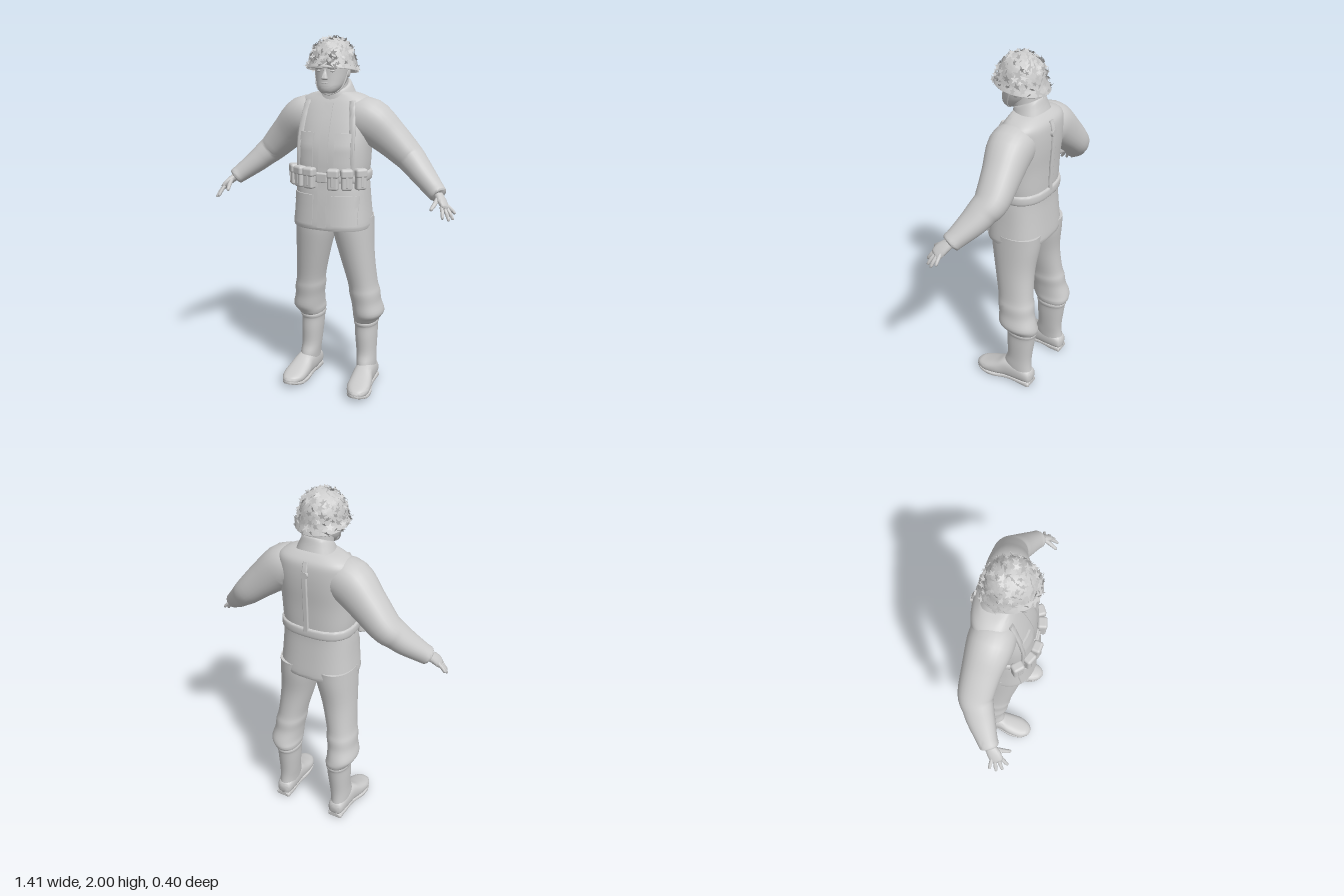
import * as THREE from 'three';
import { mergeGeometries, toCreasedNormals } from 'three/addons/utils/BufferGeometryUtils.js';
import { RoundedBoxGeometry } from 'three/addons/geometries/RoundedBoxGeometry.js';

const grey = new THREE.MeshStandardMaterial({ color: 0xcccccc });
const thin = new THREE.MeshStandardMaterial({ color: 0xcccccc, side: THREE.DoubleSide });
const Y = new THREE.Vector3(0, 1, 0), Z = new THREE.Vector3(0, 0, 1), X = new THREE.Vector3(1, 0, 0);

// Smooth skin over rings [x, y, z, r1, r2]; sections follow the path, or a fixed axis that the rings must ascend
function loft(rings, { axis = null, ref = Z, p = 2.2, seg = 28, sub = 4, rule = null } = {}) {
  const spline = pts => new THREE.CatmullRomCurve3(pts, false, 'catmullrom', 0.5);
  const path = spline(rings.map(r => new THREE.Vector3(r[0], r[1], r[2])));
  const radii = spline(rings.map(r => new THREE.Vector3(r[3], r[4], 0)));
  const n = (rings.length - 1) * sub, pos = [], idx = [];
  const pw = a => Math.sign(a) * Math.abs(a) ** (2 / p);
  for (let j = 0; j <= n; j++) {
    const c = path.getPoint(j / n), r = radii.getPoint(j / n), t = axis || path.getTangent(j / n);
    const v = ref.clone().addScaledVector(t, -t.dot(ref)).normalize();
    const u = t.clone().cross(v);
    for (let i = 0; i < seg; i++) {
      const a = i / seg * Math.PI * 2;
      const q = c.clone().addScaledVector(u, pw(Math.cos(a)) * r.x).addScaledVector(v, pw(Math.sin(a)) * r.y);
      if (rule) rule(q);
      pos.push(q.x, q.y, q.z);
    }
  }
  for (let j = 0; j < n; j++) for (let i = 0; i < seg; i++) {
    const a = j * seg + i, b = j * seg + (i + 1) % seg;
    idx.push(a, a + seg, b, b, a + seg, b + seg);
  }
  for (let i = 1; i < seg - 1; i++) {
    const e = n * seg;
    idx.push(0, i, i + 1, e, e + i + 1, e + i);
  }
  const g = new THREE.BufferGeometry();
  g.setAttribute('position', new THREE.Float32BufferAttribute(pos, 3));
  g.setIndex(idx);
  return toCreasedNormals(g, 0.9);
}

// Jacket sections, also used to drape straps and pockets over it
const TORSO = [
  [0, 0.975, 0, 0.215, 0.168], [0, 1.0, 0, 0.218, 0.172], [0, 1.1, 0, 0.208, 0.163], [0, 1.2, 0, 0.2, 0.155],
  [0, 1.26, -0.005, 0.194, 0.15], [0, 1.32, -0.005, 0.2, 0.152], [0, 1.42, -0.01, 0.205, 0.15],
  [0, 1.52, -0.027, 0.21, 0.14], [0, 1.6, -0.042, 0.21, 0.125], [0, 1.655, -0.05, 0.2, 0.108],
  [0, 1.688, -0.045, 0.15, 0.085], [0, 1.705, -0.035, 0.085, 0.07]];
const P = 2.6;
function torsoZ(x, y, side = 1) {
  let k = 0;
  while (k < TORSO.length - 2 && y > TORSO[k + 1][1]) k++;
  const a = TORSO[k], b = TORSO[k + 1], f = THREE.MathUtils.clamp((y - a[1]) / (b[1] - a[1]), 0, 1);
  const m = i => a[i] + (b[i] - a[i]) * f;
  return m(2) + side * m(4) * Math.max(0, 1 - Math.min(1, Math.abs(x) / m(3)) ** P) ** (1 / P);
}

export function createModel() {
  const root = new THREE.Group();
  const add = (name, geo, x = 0, y = 0, z = 0, mat = grey) => {
    const m = new THREE.Mesh(geo, mat);
    m.name = name;
    m.position.set(x, y, z);
    root.add(m);
  };
  // Flat panel bent onto the jacket front
  const drape = (name, x, y, w, h, d) => {
    const g = new THREE.BoxGeometry(w, h, d, 8, 10, 1), a = g.attributes.position;
    for (let i = 0; i < a.count; i++) {
      const px = a.getX(i) + x, py = a.getY(i) + y;
      a.setXYZ(i, px, py, a.getZ(i) + torsoZ(px, py));
    }
    add(name, toCreasedNormals(g, 0.7));
  };

  add('jacket', loft(TORSO, { axis: Y, p: P, seg: 48 }));
  drape('jacketPlacket', 0, 1.32, 0.05, 0.66, 0.01);
  add('collar', loft([[0, 1.665, -0.035, 0.112, 0.095], [0, 1.7, -0.033, 0.098, 0.086], [0, 1.74, -0.03, 0.08, 0.078],
    [0, 1.743, -0.03, 0.068, 0.068]], { axis: Y, rule: q => { q.y -= (q.z + 0.03) * 0.45; } }));

  // Belt, buckle and the back strap
  add('belt', loft([[0, 1.235, -0.003, 0.19, 0.15], [0, 1.242, -0.003, 0.206, 0.163], [0, 1.283, -0.003, 0.206, 0.163],
    [0, 1.29, -0.003, 0.19, 0.15]], { axis: Y, p: P, seg: 48 }));
  add('buckle', new RoundedBoxGeometry(0.06, 0.05, 0.014, 3, 0.006), 0, 1.262, 0.162);
  const backStrap = [1.27, 1.35, 1.45, 1.55, 1.62, 1.665].map(y => [0, y, torsoZ(0, y, -1) - 0.004, 0.009, 0.014]);
  add('backStrap', loft(backStrap, { ref: X, p: 4, seg: 16 }));
  add('strapJoint', new THREE.CylinderGeometry(0.02, 0.02, 0.014, 20).rotateX(Math.PI / 2), 0, 1.6, torsoZ(0, 1.6, -1) - 0.006);

  for (const s of [1, -1]) {
    const side = s > 0 ? 'left' : 'right';
    // Shoulder strap from the belt up to the shoulder
    const strap = [[0.15, 1.28], [0.15, 1.4], [0.145, 1.52], [0.135, 1.61], [0.125, 1.66]]
      .map(([x, y]) => [s * x, y, torsoZ(x, y) + 0.003, 0.008, 0.016]);
    add(side + 'ShoulderStrap', loft(strap, { ref: X, p: 4, seg: 16 }));

    // Jacket pockets
    drape(side + 'ChestPocket', s * 0.105, 1.4, 0.085, 0.18, 0.014);
    drape(side + 'ChestFlap', s * 0.105, 1.475, 0.09, 0.045, 0.022);
    drape(side + 'HipPocket', s * 0.12, 1.07, 0.13, 0.13, 0.012);
    drape(side + 'HipFlap', s * 0.12, 1.145, 0.135, 0.045, 0.018);

    // Three ammunition pouches around the belt
    [[0.068, 0.168, 0.18], [0.135, 0.143, 0.5], [0.194, 0.094, 0.85]].forEach(([x, z, a]) => {
      const pouch = new THREE.Group();
      pouch.name = side + 'BeltPouch';
      const parts = [['pouchBody', new RoundedBoxGeometry(0.058, 0.11, 0.046, 3, 0.012), 0, 0],
        ['pouchFlap', new RoundedBoxGeometry(0.066, 0.05, 0.053, 3, 0.014), 0.034, 0.001],
        ['pouchTab', new RoundedBoxGeometry(0.014, 0.06, 0.006, 2, 0.003), -0.008, 0.024]];
      for (const [name, geo, y, dz] of parts) {
        const m = new THREE.Mesh(geo, grey);
        m.name = name;
        m.position.set(0, y, dz);
        pouch.add(m);
      }
      pouch.position.set(s * x, 1.258, z);
      pouch.rotation.y = s * a;
      root.add(pouch);
    });

    // Sleeve, palm and fingers
    const mir = rings => rings.map(([x, ...r]) => [s * x, ...r]);
    add(side + 'Sleeve', loft(mir([[0.1, 1.565, -0.035, 0.1, 0.11], [0.19, 1.555, -0.04, 0.118, 0.117], [0.3, 1.468, -0.06, 0.098, 0.1],
      [0.4, 1.376, -0.07, 0.079, 0.09], [0.45, 1.332, -0.05, 0.07, 0.08], [0.5, 1.286, -0.024, 0.062, 0.072], [0.575, 1.223, 0.022, 0.05, 0.054],
      [0.6, 1.203, 0.04, 0.046, 0.05], [0.606, 1.198, 0.044, 0.034, 0.036]])));
    add(side + 'Palm', loft(mir([[0.58, 1.22, 0.028, 0.026, 0.028], [0.61, 1.195, 0.05, 0.021, 0.031], [0.635, 1.17, 0.074, 0.018, 0.037],
      [0.655, 1.145, 0.09, 0.014, 0.033], [0.66, 1.139, 0.094, 0.004, 0.02]]), { seg: 16 }));
    const fingers = [['Thumb', 0.61, 1.195, 0.07, 0.592, 1.14, 0.15], ['Index', 0.638, 1.155, 0.108, 0.655, 1.1, 0.148],
      ['Middle', 0.648, 1.15, 0.098, 0.684, 1.088, 0.126], ['Ring', 0.655, 1.15, 0.08, 0.698, 1.09, 0.096], ['Little', 0.653, 1.157, 0.064, 0.699, 1.113, 0.06]];
    for (const [name, x, y, z, a, b, c] of fingers) {
      const r = name === 'Thumb' ? 0.0115 : 0.0095;
      add(side + name + 'Finger', loft(mir([[0, r], [0.5, r], [0.92, r * 0.75], [1, r * 0.2]].map(([f, q]) =>
        [x + (a - x) * f + 0.012 * f * (1 - f), y + (b - y) * f, z + (c - z) * f, q, q])), { seg: 10, sub: 3 }));
    }

    // Trousers bloused over the boots
    add(side + 'TrouserLeg', loft(mir([[0.17, 0.393, -0.09, 0.058, 0.084], [0.172, 0.397, -0.09, 0.066, 0.096], [0.178, 0.42, -0.087, 0.077, 0.108],
      [0.188, 0.455, -0.075, 0.085, 0.115], [0.178, 0.52, -0.062, 0.08, 0.107], [0.17, 0.58, -0.054, 0.083, 0.109], [0.161, 0.64, -0.045, 0.079, 0.105],
      [0.135, 0.8, -0.025, 0.092, 0.117], [0.113, 0.95, -0.02, 0.108, 0.14], [0.11, 1.03, -0.02, 0.108, 0.145]]), { axis: Y, seg: 32 }));
    // Boot: shaft, rolled top, foot, sole and heel
    add(side + 'BootShaft', loft(mir([[0.183, 0.06, -0.085, 0.047, 0.085], [0.181, 0.13, -0.07, 0.052, 0.088], [0.176, 0.2, -0.08, 0.055, 0.077],
      [0.172, 0.3, -0.085, 0.061, 0.084], [0.17, 0.365, -0.09, 0.063, 0.088], [0.17, 0.385, -0.09, 0.068, 0.094],
      [0.17, 0.41, -0.09, 0.06, 0.086]]), { axis: Y }));
    add(side + 'BootFoot', loft(mir([[0.182, 0.06, -0.172, 0.02, 0.025], [0.182, 0.065, -0.155, 0.044, 0.045], [0.184, 0.08, -0.08, 0.053, 0.066],
      [0.189, 0.08, 0, 0.056, 0.067], [0.196, 0.064, 0.06, 0.065, 0.05], [0.202, 0.05, 0.13, 0.065, 0.035],
      [0.206, 0.045, 0.18, 0.042, 0.024], [0.207, 0.044, 0.2, 0.012, 0.008]]), { axis: Z, ref: Y, p: 2.5 }));
    add(side + 'BootSole', loft(mir([[0.183, 0.023, -0.172, 0.03, 0.011], [0.184, 0.023, -0.13, 0.048, 0.012], [0.188, 0.023, -0.02, 0.05, 0.012],
      [0.198, 0.018, 0.07, 0.066, 0.013], [0.203, 0.022, 0.14, 0.062, 0.012], [0.206, 0.033, 0.185, 0.038, 0.01], [0.207, 0.037, 0.203, 0.01, 0.006]]),
      { axis: Z, ref: Y, p: 5 }));
    add(side + 'BootHeel', new RoundedBoxGeometry(0.09, 0.03, 0.1, 3, 0.012), s * 0.184, 0.015, -0.12);

    // Face details
    add(side + 'Eye', new THREE.SphereGeometry(0.013, 14, 10).scale(1.2, 0.5, 0.6), s * 0.035, 1.815, 0.107);
    add(side + 'Brow', new THREE.SphereGeometry(0.026, 14, 10).scale(1.2, 0.35, 0.5), s * 0.034, 1.832, 0.108);
    add(side + 'Ear', new THREE.SphereGeometry(0.026, 14, 10).scale(0.35, 1, 0.65), s * 0.084, 1.805, 0);
  }

  // Neck and head
  add('neck', loft([[0, 1.64, -0.035, 0.075, 0.07], [0, 1.72, -0.018, 0.07, 0.068], [0, 1.8, -0.012, 0.07, 0.072]], { axis: Y }));
  add('head', loft([[0, 1.698, 0.072, 0.018, 0.022], [0, 1.705, 0.066, 0.042, 0.048], [0, 1.73, 0.05, 0.064, 0.072], [0, 1.76, 0.03, 0.077, 0.09],
    [0, 1.8, 0.018, 0.084, 0.1], [0, 1.85, 0.012, 0.087, 0.105], [0, 1.9, 0.01, 0.08, 0.1], [0, 1.94, 0.01, 0.04, 0.06]], { axis: Y }));
  add('nose', loft([[0, 1.77, 0.116, 0.011, 0.01], [0, 1.776, 0.12, 0.018, 0.022], [0, 1.79, 0.118, 0.014, 0.02],
    [0, 1.815, 0.109, 0.009, 0.014], [0, 1.835, 0.104, 0.009, 0.012]], { axis: Y, seg: 16 }));
  add('upperLip', new THREE.SphereGeometry(0.024, 16, 10).scale(1, 0.22, 0.4), 0, 1.754, 0.113);
  add('lowerLip', new THREE.SphereGeometry(0.021, 16, 10).scale(1, 0.26, 0.4), 0, 1.744, 0.11);
  add('chin', new THREE.SphereGeometry(0.026, 16, 12).scale(1.2, 0.75, 0.65), 0, 1.722, 0.102);
  const chinPath = new THREE.CatmullRomCurve3([[-0.094, 1.84, 0.02], [-0.087, 1.78, 0.04], [-0.064, 1.72, 0.062], [0, 1.692, 0.075],
    [0.064, 1.72, 0.062], [0.087, 1.78, 0.04], [0.094, 1.84, 0.02]].map(a => new THREE.Vector3(...a)));
  add('chinStrap', new THREE.TubeGeometry(chinPath, 40, 0.004, 8));

  // Helmet dome with flared skirt, lifted at the front
  const profile = [[0.134, 1.814], [0.137, 1.818], [0.125, 1.836], [0.117, 1.855]];
  for (let i = 1; i <= 10; i++) {
    const a = i / 10 * Math.PI / 2;
    profile.push([0.116 * Math.cos(a), 1.855 + 0.126 * Math.sin(a)]);
  }
  const helmet = new THREE.LatheGeometry(profile.map(q => new THREE.Vector2(Math.max(0, q[0]), q[1])), 48).scale(1, 1, 1.08);
  const hp = helmet.attributes.position;
  const lift = (y, z) => y + z * 0.15 * THREE.MathUtils.clamp((1.9 - y) / 0.08, 0, 1);
  for (let i = 0; i < hp.count; i++) hp.setY(i, lift(hp.getY(i), hp.getZ(i)));
  helmet.computeVertexNormals();
  add('helmet', helmet, 0, 0, 0.014, thin);

  // Ragged leaves scattered over the helmet
  let seed = 7;
  const rnd = () => (seed = (seed * 16807) % 2147483647) / 2147483647;
  const leaves = [], o = new THREE.Object3D();
  for (let i = 0; i < 170; i++) {
    const f = (i + 0.5) / 170, th = i * 2.39996, cy = 1 - f * 1.27, sr = Math.sqrt(1 - cy * cy);
    const d = new THREE.Vector3(sr * Math.cos(th), cy, sr * Math.sin(th));
    const flare = cy < 0 ? 1 - cy * 0.7 : 1, size = 0.013 + rnd() * 0.013;
    const shape = new THREE.Shape();
    for (let k = 0; k < 10; k++) {
      const r = size * (k % 2 ? 0.4 : 0.75 + rnd() * 0.5), a = k * Math.PI / 5;
      shape[k ? 'lineTo' : 'moveTo'](r * Math.cos(a), r * Math.sin(a));
    }
    o.position.set(d.x * 0.122 * flare, 1.855 + d.y * 0.131, d.z * 0.131 * flare);
    o.position.y = lift(o.position.y, o.position.z);
    o.lookAt(o.position.clone().add(d));
    o.rotateX((rnd() - 0.5) * 1.5);
    o.rotateY((rnd() - 0.5) * 1.5);
    o.rotateZ(rnd() * 6);
    o.updateMatrix();
    leaves.push(new THREE.ShapeGeometry(shape).applyMatrix4(o.matrix));
  }
  add('helmetLeaves', mergeGeometries(leaves), 0, 0, 0.014, thin);
  return root;
}
